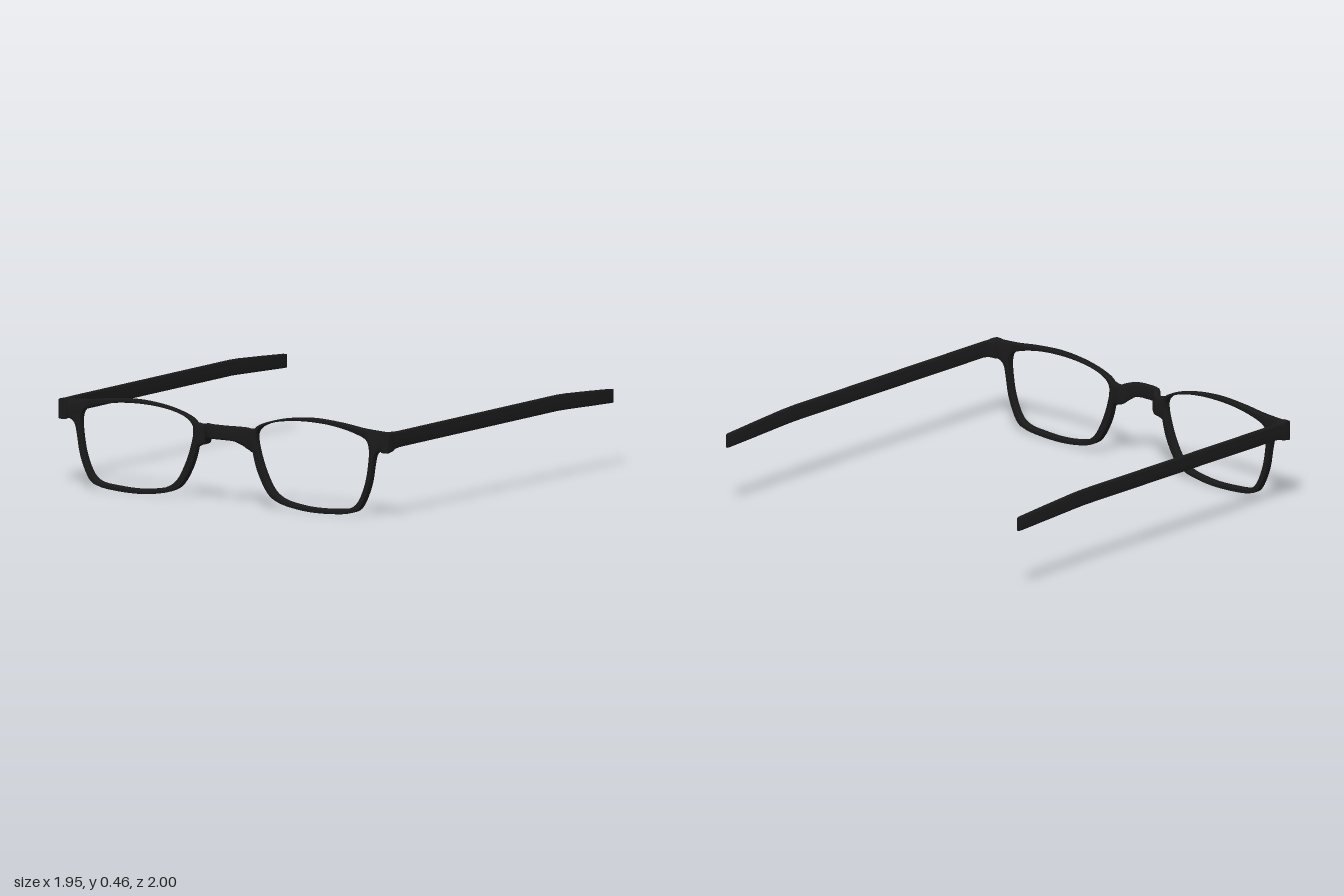
import * as THREE from 'three';
import { toCreasedNormals } from 'three/addons/utils/BufferGeometryUtils.js';

const black = new THREE.MeshStandardMaterial({ color: 0x1a1a1a });

// Sweeps a rounded upright section through stations [x, z, bottom, top, thickness].
function loft(stations, roundness) {
  const N = 20, pos = [], index = [];
  const power = (v) => Math.sign(v) * Math.pow(Math.abs(v), roundness);
  const up = new THREE.Vector3(0, 1, 0);
  stations.forEach(([x, z, lo, hi, thick], i) => {
    const a = stations[Math.max(i - 1, 0)], b = stations[Math.min(i + 1, stations.length - 1)];
    const side = up.clone().cross(new THREE.Vector3(b[0] - a[0], 0, b[1] - a[1]).normalize());
    for (let j = 0; j < N; j++) {
      const t = (j / N) * Math.PI * 2;
      const w = power(Math.cos(t)) * thick / 2;
      pos.push(x + side.x * w, (lo + hi) / 2 + power(Math.sin(t)) * (hi - lo) / 2, z + side.z * w);
    }
  });
  for (let i = 0; i < stations.length - 1; i++) {
    for (let j = 0; j < N; j++) {
      const a = i * N + j, b = i * N + (j + 1) % N;
      index.push(a, b, a + N, b, b + N, a + N);
    }
  }
  // End caps
  const last = (stations.length - 1) * N;
  for (let j = 1; j < N - 1; j++) {
    index.push(0, j + 1, j, last, last + j, last + j + 1);
  }
  const geo = new THREE.BufferGeometry();
  geo.setAttribute('position', new THREE.Float32BufferAttribute(pos, 3));
  geo.setIndex(index);
  return toCreasedNormals(geo, 0.7);
}

// Smooth resampling of every station value
function smooth(stations, count) {
  const at = (k, n) => stations[THREE.MathUtils.clamp(k, 0, stations.length - 1)][n];
  return Array.from({ length: count + 1 }, (_, i) => {
    const f = (i / count) * (stations.length - 1);
    const k = Math.min(Math.floor(f), stations.length - 2), t = f - k;
    return stations[0].map((_, n) => {
      const p0 = at(k - 1, n), p1 = at(k, n), p2 = at(k + 1, n), p3 = at(k + 2, n);
      return p1 + 0.5 * t * (p2 - p0 + t * (2 * p0 - 5 * p1 + 4 * p2 - p3 + t * (3 * (p1 - p2) + p3 - p0)));
    });
  });
}

// Lens rim with its flared endpiece
function rimGeometry(s) {
  const pts = (list) => list.map(([x, y]) => new THREE.Vector2(x * s, y));
  const outer = pts([
    [0.975, 0.435], [0.82, 0.443], [0.68, 0.46], [0.52, 0.469], [0.37, 0.456], [0.25, 0.428],
    [0.18, 0.393], [0.16, 0.34], [0.17, 0.255], [0.2, 0.165], [0.255, 0.075], [0.32, 0.035],
    [0.42, 0.014], [0.52, 0.006], [0.64, 0.009], [0.74, 0.022], [0.8, 0.055], [0.85, 0.16],
    [0.872, 0.27], [0.885, 0.32], [0.915, 0.343], [0.975, 0.35],
  ]);
  const inner = pts([
    [0.188, 0.37], [0.215, 0.4], [0.28, 0.427], [0.39, 0.446], [0.52, 0.451], [0.65, 0.442],
    [0.77, 0.417], [0.835, 0.39], [0.851, 0.35], [0.847, 0.27], [0.825, 0.165], [0.78, 0.074],
    [0.735, 0.045], [0.64, 0.033], [0.52, 0.029], [0.42, 0.038], [0.34, 0.056], [0.285, 0.092],
    [0.228, 0.19], [0.195, 0.285], [0.185, 0.335],
  ]);
  const shape = new THREE.Shape(new THREE.SplineCurve(outer).getPoints(110));
  const closed = new THREE.CatmullRomCurve3(inner.map((p) => new THREE.Vector3(p.x, p.y, 0)), true);
  shape.holes.push(new THREE.Path(
    closed.getPoints(100).slice(0, -1).map((p) => new THREE.Vector2(p.x, p.y))));
  const geo = new THREE.ExtrudeGeometry(shape, {
    depth: 0.03, bevelThickness: 0.004, bevelSize: 0.004, bevelOffset: -0.004, bevelSegments: 2,
  });
  geo.translate(0, 0, 0.904);
  return toCreasedNormals(geo, 0.6);
}

export function createModel() {
  const group = new THREE.Group();
  const add = (name, geo) => {
    const mesh = new THREE.Mesh(geo, black);
    mesh.name = name;
    group.add(mesh);
  };

  // Bridge: bows forward between the rims and widens into the nose rests
  const half = [
    [0, 0.979, 0.326, 0.397, 0.034], [0.035, 0.978, 0.326, 0.397, 0.034],
    [0.07, 0.967, 0.323, 0.396, 0.034], [0.092, 0.942, 0.308, 0.393, 0.034],
    [0.112, 0.916, 0.288, 0.388, 0.032], [0.14, 0.917, 0.279, 0.384, 0.034],
    [0.165, 0.921, 0.268, 0.388, 0.036], [0.182, 0.92, 0.275, 0.388, 0.034],
  ];
  const mirrored = half.slice(1).reverse().map(([x, ...rest]) => [-x, ...rest]);
  add('bridge', loft(smooth([...mirrored, ...half], 70), 0.45));

  // Temple: thick filleted hinge, straight arm, tail dropping gently
  const temple = [
    [0.951, 0.944, 0.337, 0.436, 0.048], [0.951, 0.9, 0.343, 0.436, 0.048],
    [0.956, 0.885, 0.35, 0.436, 0.038], [0.96, 0.87, 0.355, 0.436, 0.029],
    [0.964, 0.84, 0.358, 0.436, 0.022], [0.964, 0.2, 0.358, 0.436, 0.021],
    [0.964, -0.52, 0.358, 0.436, 0.021], [0.964, -0.6, 0.355, 0.433, 0.021],
    [0.964, -0.8, 0.345, 0.419, 0.021], [0.964, -0.985, 0.336, 0.405, 0.02],
    [0.964, -1, 0.336, 0.402, 0.012],
  ];
  for (const [label, s] of [['left', 1], ['right', -1]]) {
    add(label + 'Rim', rimGeometry(s));
    add(label + 'Temple', loft(temple.map(([x, ...rest]) => [x * s, ...rest]), 0.25));
  }
  return group;
}
